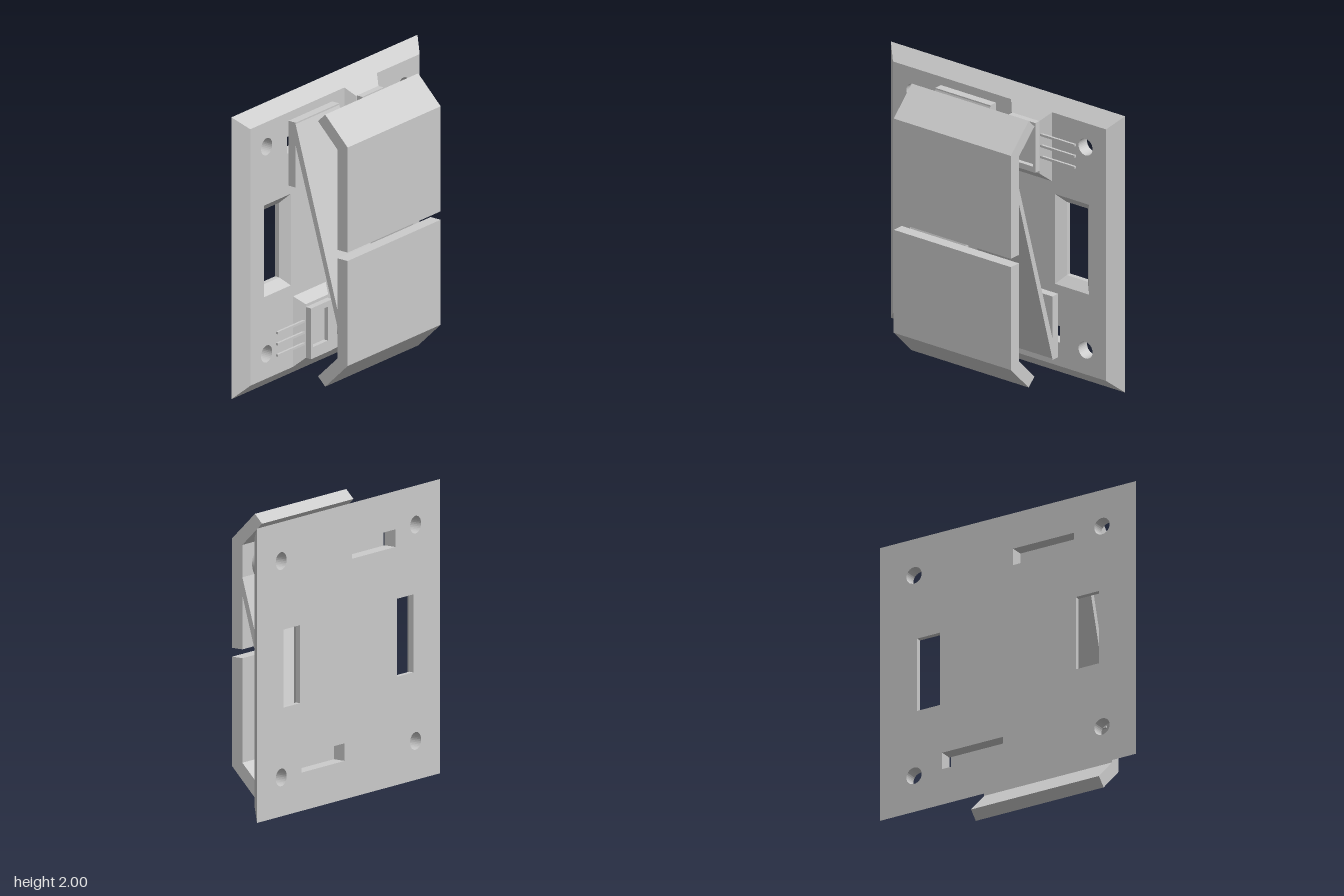
import * as THREE from 'three';

const mat = new THREE.MeshStandardMaterial({ color: 0xcccccc });

function mesh(name, geo) {
  const m = new THREE.Mesh(geo, mat);
  m.name = name;
  return m;
}

// Box given by its limits
function box(name, x0, x1, y0, y1, z0, z1) {
  const g = new THREE.BoxGeometry(x1 - x0, y1 - y0, z1 - z0);
  g.translate((x0 + x1) / 2, (y0 + y1) / 2, (z0 + z1) / 2);
  return mesh(name, g);
}

// Profile in x-y, extruded along z
function prism(name, pts, z0, z1) {
  const shape = new THREE.Shape(pts.map(p => new THREE.Vector2(...p)));
  const g = new THREE.ExtrudeGeometry(shape, { depth: z1 - z0, bevelEnabled: false });
  g.translate(0, 0, z0);
  return mesh(name, g);
}

// Rings lie in a plane facing +x: first coordinate is -z, second is y
function rect(z0, z1, y0, y1) {
  return [[-z1, y0], [-z0, y0], [-z0, y1], [-z1, y1]].map(p => new THREE.Vector2(...p));
}

function circle(z, y, r, n = 32) {
  return Array.from({ length: n }, (_, i) => {
    const a = i / n * Math.PI * 2;
    return new THREE.Vector2(-z + r * Math.cos(a), y + r * Math.sin(a));
  });
}

// Wall between two matching rings at depths xa and xb
function band(name, a, b, xa, xb, inward = false) {
  if (inward) { a = [...a].reverse(); b = [...b].reverse(); }
  const pos = [];
  a.forEach((p, i) => {
    const j = (i + 1) % a.length;
    const A = [p.x, p.y, xa], B = [a[j].x, a[j].y, xa];
    const C = [b[j].x, b[j].y, xb], D = [b[i].x, b[i].y, xb];
    pos.push(...A, ...B, ...C, ...A, ...C, ...D);
  });
  const g = new THREE.BufferGeometry();
  g.setAttribute('position', new THREE.Float32BufferAttribute(pos, 3));
  g.rotateY(Math.PI / 2);
  g.computeVertexNormals();
  return mesh(name, g);
}

// Flat face with holes at depth x, optionally facing backward
function face(name, outline, holes, x, back = false) {
  const s = new THREE.Shape(outline);
  s.holes = holes.map(h => new THREE.Path(h));
  const g = new THREE.ShapeGeometry(s);
  if (back) {
    const idx = g.index.array;
    for (let i = 0; i < idx.length; i += 3) [idx[i], idx[i + 1]] = [idx[i + 1], idx[i]];
    g.computeVertexNormals();
  }
  g.translate(0, 0, x);
  g.rotateY(Math.PI / 2);
  return mesh(name, g);
}

// Bevelled wall plate with screw holes, windows and slots
function createPlate() {
  const plate = new THREE.Group();
  plate.name = 'backPlate';
  const xb = -0.3, xf = -0.21, xm = -0.265;
  const outerBack = rect(-1, 1, 0, 2), outerFront = rect(-0.91, 0.91, 0.09, 1.91);
  const frontHoles = [], backHoles = [];

  for (const s of [-1, 1]) {
    for (const y of [0.265, 1.735]) {
      const c = circle(s * 0.735, y, 0.06);
      frontHoles.push(c);
      backHoles.push(c);
      plate.add(band('screwHole', c, c, xb, xf, true));
    }
    const inner = rect(s * 0.62 - 0.09, s * 0.62 + 0.09, 0.735, 1.265);
    const outer = rect(s * 0.62 - 0.145, s * 0.62 + 0.145, 0.675, 1.325);
    frontHoles.push(outer);
    backHoles.push(inner);
    plate.add(band('windowWall', inner, inner, xb, xm, true));
    plate.add(band('windowBevel', inner, outer, xm, xf, true));
  }
  for (const slot of [rect(0.04, 0.515, 1.62, 1.74), rect(-0.515, -0.04, 0.26, 0.38)]) {
    frontHoles.push(slot);
    backHoles.push(slot);
    plate.add(band('slotWall', slot, slot, xb, xf, true));
  }
  plate.add(band('plateBevel', outerBack, outerFront, xb, xf));
  plate.add(face('plateFront', outerFront, frontHoles, xf));
  plate.add(face('plateBack', outerBack, backHoles, xb, true));
  return plate;
}

// Upper rocker, magnet and sensor, with the arm that carries the other rocker
function createHalf() {
  const half = new THREE.Group();
  half.name = 'switchHalf';

  half.add(prism('rocker', [
    [0.205, 1.03], [0.29, 1.03], [0.29, 1.775], [0.1, 1.965], [0.04, 1.905], [0.205, 1.74],
  ], -0.5, 0.5));
  half.add(box('armHolder', -0.21, -0.15, 1.39, 1.85, 0.03, 0.5));
  half.add(prism('springArm', [[-0.15, 1.84], [-0.15, 1.69], [0.205, 0.48], [0.205, 0.6]], 0.03, 0.5));

  // Magnet with a slightly raised centre
  for (const [name, r, x0] of [['magnet', 0.118, 0.115], ['magnetCap', 0.09, 0.108]]) {
    const g = new THREE.CylinderGeometry(r, r, 0.205 - x0, 40);
    g.rotateZ(Math.PI / 2);
    g.translate((0.205 + x0) / 2, 1.592, -0.275);
    half.add(mesh(name, g));
  }

  // Sloped sensor mount
  const mountTop = rect(-0.39, -0.15, 1.47, 1.85);
  half.add(band('sensorMount', rect(-0.45, -0.1, 1.41, 1.91), mountTop, -0.21, -0.15));
  half.add(face('sensorMountTop', mountTop, [], -0.15));

  // Open sensor frame, sensor and its pins
  const frame = new THREE.Shape(rect(-0.39, -0.16, 1.49, 1.85));
  frame.holes.push(new THREE.Path(rect(-0.37, -0.21, 1.53, 1.77)));
  const fg = new THREE.ExtrudeGeometry(frame, { depth: 0.045, bevelEnabled: false });
  fg.translate(0, 0, -0.15);
  fg.rotateY(Math.PI / 2);
  half.add(mesh('sensorFrame', fg));
  half.add(box('sensor', -0.2, -0.13, 1.535, 1.765, -0.365, -0.215));
  for (const y of [1.59, 1.67, 1.75]) {
    half.add(box('sensorPin', -0.17, -0.153, y - 0.008, y + 0.008, -0.685, -0.36));
  }
  return half;
}

export function createModel() {
  const model = new THREE.Group();
  model.name = 'doubleRockerSwitch';
  model.add(createPlate());
  model.add(createHalf());
  // Second half turned half a revolution about the plate's centre
  const lower = createHalf();
  lower.rotation.x = Math.PI;
  lower.position.y = 2;
  model.add(lower);
  return model;
}
